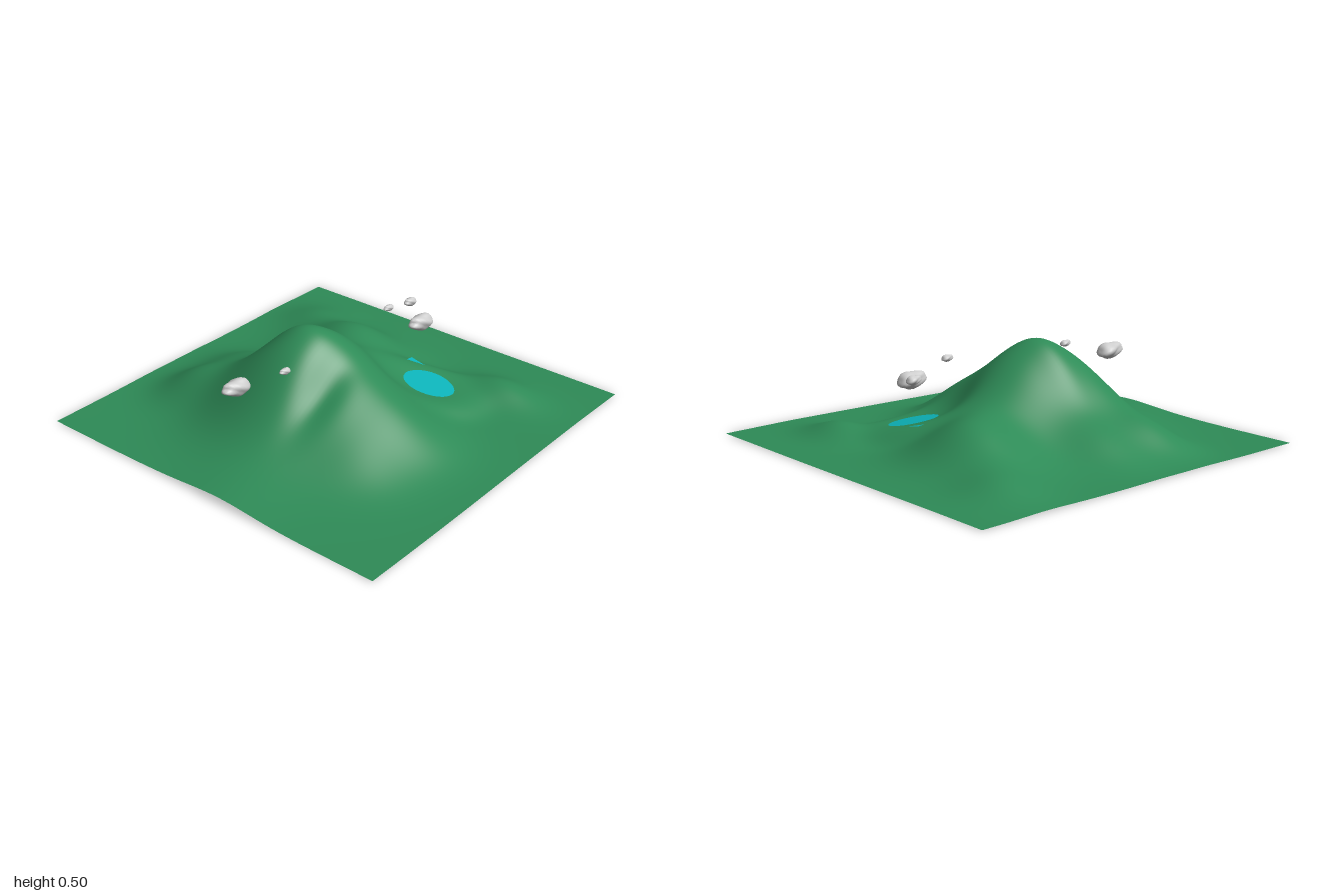
import * as THREE from 'three';
import { mergeVertices } from 'three/addons/utils/BufferGeometryUtils.js';

// Hills and hollows: x, z, height, spread in x, spread in z
const HILLS = [
  [-0.04, 0.15, 0.475, 0.27, 0.295],  // main peak
  [-0.38, 0.36, 0.08, 0.2, 0.14],     // front-right shoulder
  [-0.66, 0.36, 0.085, 0.13, 0.13],   // ridge end
  [-0.62, 0.06, 0.07, 0.15, 0.12],    // second ridge
  [0.45, 0.1, 0.11, 0.17, 0.17],      // spur beside the lake
  [0.45, 0.42, 0.05, 0.16, 0.14],
  [-0.3, -0.46, 0.16, 0.22, 0.16],    // rear hill
  [0.55, -0.61, 0.08, 0.15, 0.1],     // small rear hills
  [-0.7, -0.64, 0.05, 0.14, 0.12],
  [0.15, 0.32, -0.06, 0.06, 0.13],    // gully below the peak
  [-0.2, 0.15, 0.025, 0.13, 0.06],
  [0.12, 1.0, 0.022, 0.18, 0.2],      // swell on the front edge
];
const LAKE = { x: 0.29, z: -0.34, y: 0.105, rx: 0.12, rz: 0.105, slopeX: -0.2, slopeZ: 0.1 };

const lakeLevel = (x, z) =>
  LAKE.y + LAKE.slopeX * (x - LAKE.x) + LAKE.slopeZ * (z - LAKE.z);

function groundHeight(x, z) {
  let h = 0.008 + 0.004 * Math.sin(x * 4 + 1) * Math.sin(z * 3);
  for (const [cx, cz, height, sx, sz] of HILLS) {
    const dx = (x - cx) / sx, dz = (z - cz) / sz;
    h += height * Math.exp(-(dx * dx + dz * dz) / 2);
  }
  // Blend into a shallow bowl around the lake
  const dx = (x - LAKE.x) / LAKE.rx, dz = (z - LAKE.z) / LAKE.rz;
  const d2 = dx * dx + dz * dz + 0.3 * dx * dz;
  const blend = Math.exp(-((d2 / 4.6) ** 2));
  const bowl = lakeLevel(x, z) + 0.014 * (d2 - 1);
  return Math.max(0, h + (bowl - h) * blend);
}

// Horizontal sheet whose points are lifted by a height rule
function sheet(name, width, depth, segments, cx, cz, height, color) {
  const geo = new THREE.PlaneGeometry(width, depth, segments, segments);
  geo.rotateX(-Math.PI / 2).translate(cx, 0, cz);
  const p = geo.attributes.position;
  for (let i = 0; i < p.count; i++) p.setY(i, height(p.getX(i), p.getZ(i)));
  geo.computeVertexNormals();
  const mesh = new THREE.Mesh(
    geo, new THREE.MeshStandardMaterial({ color, side: THREE.DoubleSide }));
  mesh.name = name;
  return mesh;
}

// Lumpy boulder, blunt at the back and tapering to the front
function boulderGeometry() {
  let geo = new THREE.IcosahedronGeometry(1, 5);
  geo.deleteAttribute('normal');
  geo.deleteAttribute('uv');
  geo = mergeVertices(geo, 1e-4);
  const p = geo.attributes.position;
  for (let i = 0; i < p.count; i++) {
    const x = p.getX(i), y = p.getY(i), z = p.getZ(i);
    const lump = 0.95 + 0.07 * Math.sin(4 * x + 3 * z + 1) + 0.06 * Math.sin(5 * y - 4 * z)
      + 0.05 * Math.sin(6 * z + 3 * x - 2 * y);
    const taper = 1 - 0.25 * z;
    p.setXYZ(i, x * lump * taper, y * lump * taper + 0.12 * z, z * lump);
  }
  geo.computeVertexNormals();
  return geo;
}

export function createModel() {
  const model = new THREE.Group();
  model.name = 'mountainLandscape';

  // Ground and tilted lake surface
  model.add(sheet('terrain', 2, 2, 110, 0, 0, groundHeight, 0x2e8b57));
  model.add(sheet('lake', 0.42, 0.28, 1, 0.3, -0.33, lakeLevel, 0x0cb4ba));

  // Floating boulders: x, y, z, half width, half height, half length
  const rocks = new THREE.Group();
  rocks.name = 'floatingBoulders';
  const geo = boulderGeometry();
  const grey = new THREE.MeshStandardMaterial({ color: 0xcccccc });
  [
    [0.14, 0.355, -0.465, 0.045, 0.043, 0.084],
    [-0.085, 0.385, 0.66, 0.045, 0.042, 0.084],
    [0, 0.39, -0.562, 0.024, 0.023, 0.043],
    [0.04, 0.457, -0.328, 0.018, 0.017, 0.034],
    [0.04, 0.428, 0.457, 0.018, 0.017, 0.034],
  ].forEach(([x, y, z, w, h, l], i) => {
    const rock = new THREE.Mesh(geo, grey);
    rock.name = `boulder${i + 1}`;
    rock.position.set(x, y, z);
    rock.scale.set(w, h, l);
    rocks.add(rock);
  });
  model.add(rocks);
  return model;
}
